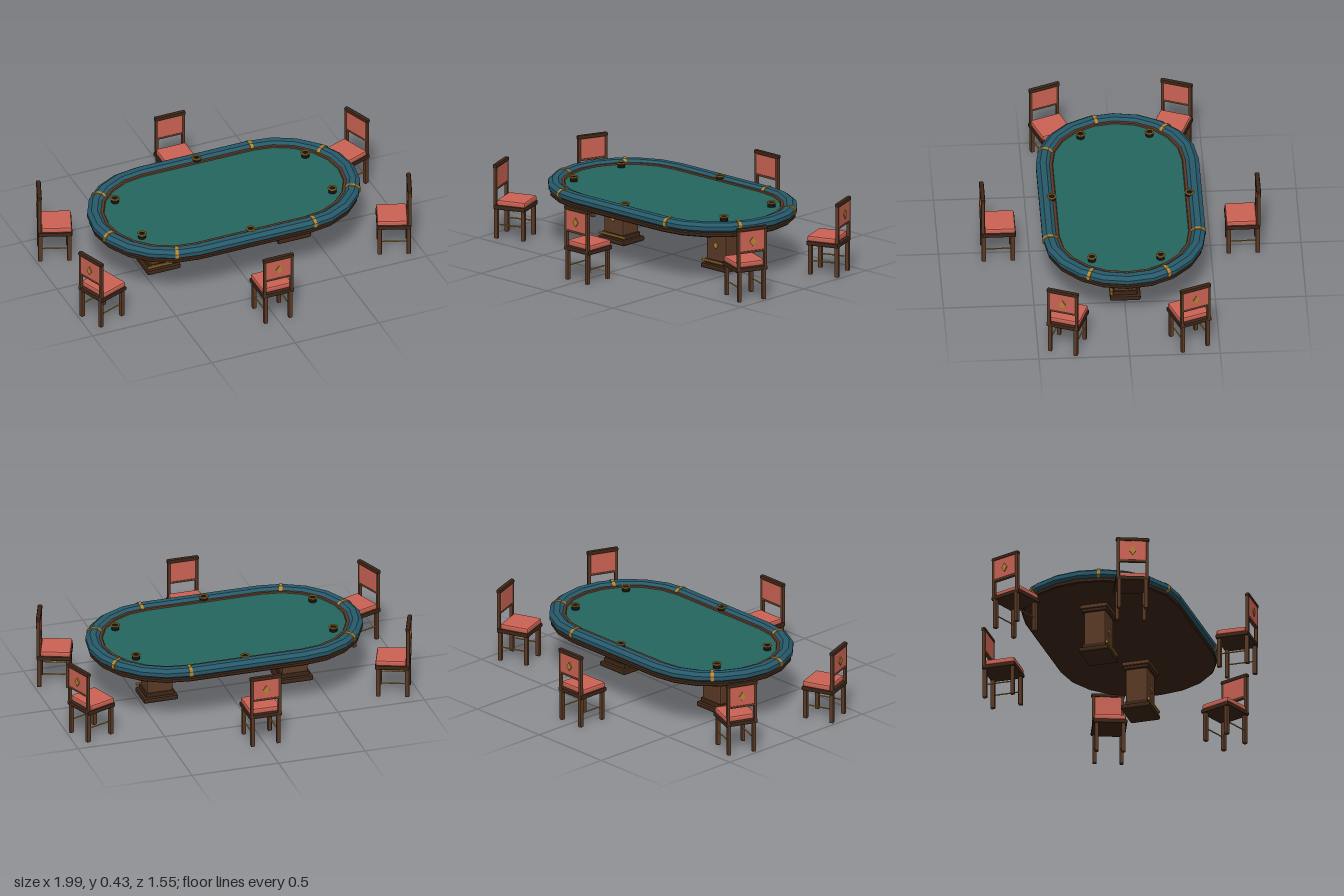
import * as THREE from 'three';
import { RoundedBoxGeometry } from 'three/addons/geometries/RoundedBoxGeometry.js';

const mat = (color) => new THREE.MeshStandardMaterial({ color, flatShading: true });
const WOOD = mat(0x5a3925), DARK = mat(0x3d2618), RED = mat(0xcc6354), GOLD = mat(0xb5852f);
const FELT = mat(0x256660), PAD = mat(0x27596a), BLACK = mat(0x14120f);

const END = 0.33; // half length of the straight sides
const ARC = 10; // segments in each rounded end

function add(parent, name, geometry, material, x = 0, y = 0, z = 0) {
  const mesh = new THREE.Mesh(geometry, material);
  mesh.name = name;
  mesh.position.set(x, y, z);
  parent.add(mesh);
  return mesh;
}

// Box with chamfered edges
const block = (w, h, d, c = 0.005) => new RoundedBoxGeometry(w, h, d, 1, c);

// Directions around the oval: end centre and angle
function ovalSteps() {
  const steps = [];
  for (const side of [1, -1]) {
    for (let i = 0; i <= ARC; i++) {
      steps.push({ cx: side * END, a: (i / ARC - 0.5) * Math.PI + (side < 0 ? Math.PI : 0) });
    }
    for (const k of [0.5, 0, -0.5]) steps.push({ cx: side * END * k * 1.0, a: side * Math.PI / 2 });
  }
  return steps;
}

// Sweep a closed (radius, height) profile around the oval
function sweepOval(profile) {
  const steps = ovalSteps(), n = profile.length, pos = [], index = [];
  steps.forEach(({ cx, a }, i) => {
    const next = ((i + 1) % steps.length) * n;
    profile.forEach(([r, y], j) => {
      pos.push(cx + r * Math.cos(a), y, r * Math.sin(a));
      const k = (j + 1) % n;
      index.push(i * n + j, i * n + k, next + j, i * n + k, next + k, next + j);
    });
  });
  const g = new THREE.BufferGeometry();
  g.setAttribute('position', new THREE.Float32BufferAttribute(pos, 3));
  g.setIndex(index);
  g.computeVertexNormals();
  return g;
}

// Solid oval slab
function ovalSlab(r, y0, y1, bevel = 0) {
  const pts = ovalSteps().map(({ cx, a }) =>
    new THREE.Vector2(cx + (r - bevel) * Math.cos(a), (r - bevel) * Math.sin(a)));
  return new THREE.ExtrudeGeometry(new THREE.Shape(pts), {
    depth: y1 - y0 - 2 * bevel, bevelEnabled: bevel > 0,
    bevelSize: bevel, bevelThickness: bevel, bevelSegments: 1,
  }).rotateX(-Math.PI / 2).translate(0, y0 + bevel, 0);
}

// Octagonal section of the padded rail
const octagon = (rx, ry, cx = 0, cy = 0) => Array.from({ length: 8 }, (_, i) => {
  const a = (i + 0.5) * Math.PI / 4, s = 1 / Math.cos(Math.PI / 8);
  return [cx + rx * s * Math.cos(a), cy + ry * s * Math.sin(a)];
});

function diamond(parent, y, z, rx, ry, x = 0) {
  const g = new THREE.CylinderGeometry(1, 1, 0.008, 4).rotateX(Math.PI / 2).scale(rx, ry, 1);
  return add(parent, 'diamondInlay', g, GOLD, x, y, z);
}

function createTable() {
  const table = new THREE.Group();
  table.name = 'table';
  add(table, 'tableBase', ovalSlab(0.44, 0.286, 0.312, 0.006), DARK);
  add(table, 'feltTop', ovalSlab(0.362, 0.305, 0.345), FELT);
  add(table, 'innerTrim', sweepOval([[0.376, 0.31], [0.376, 0.352], [0.36, 0.352], [0.356, 0.346], [0.356, 0.31]]), WOOD);
  add(table, 'paddedRail', sweepOval(octagon(0.04, 0.028, 0.41, 0.337)), PAD);

  // Gold bands wrapped round the rail: end side, angle in degrees
  const bands = [[1, -90], [1, -31], [1, 29], [1, 86], [-1, 73], [-1, 15], [-1, -43]];
  const toPts = (list) => list.map(([x, y]) => new THREE.Vector2(x, y));
  const loop = new THREE.Shape(toPts(octagon(0.043, 0.032)));
  loop.holes.push(new THREE.Path(toPts(octagon(0.036, 0.025))));
  const bandGeo = new THREE.ExtrudeGeometry(loop, { depth: 0.018, bevelEnabled: false }).translate(0, 0, -0.009);
  for (const [side, deg] of bands) {
    const a = THREE.MathUtils.degToRad(deg);
    const c = side * Math.cos(a), s = Math.sin(a);
    const band = add(table, 'railBand', bandGeo, GOLD, side * END + 0.408 * c, 0.337, 0.408 * s);
    band.rotation.y = -Math.atan2(s, c);
  }

  // Cup holders
  for (const [x, z] of [[0, -0.38], [0, 0.38], [0.57, 0.19], [0.57, -0.19], [-0.57, 0.19], [-0.57, -0.19]]) {
    const cup = new THREE.Group();
    cup.name = 'cupHolder';
    cup.position.set(x, 0, z);
    add(cup, 'cupWell', new THREE.CylinderGeometry(0.022, 0.022, 0.03, 12), BLACK, 0, 0.355, 0);
    add(cup, 'cupRim', new THREE.TorusGeometry(0.022, 0.005, 6, 14).rotateX(Math.PI / 2), GOLD, 0, 0.37, 0);
    table.add(cup);
  }

  // Pedestals
  for (const x of [-0.39, 0.39]) {
    const leg = new THREE.Group();
    leg.name = 'pedestal';
    leg.position.x = x;
    add(leg, 'plinth', block(0.2, 0.03, 0.17, 0.01), DARK, 0, 0.015, 0);
    add(leg, 'plinthStep', block(0.165, 0.03, 0.135, 0.006), DARK, 0, 0.04, 0);
    add(leg, 'column', block(0.15, 0.215, 0.126, 0.012), WOOD, 0, 0.148, 0);
    add(leg, 'capital', block(0.17, 0.025, 0.145, 0.008), DARK, 0, 0.258, 0);
    add(leg, 'capitalTop', block(0.185, 0.025, 0.16, 0.008), WOOD, 0, 0.276, 0);
    diamond(leg, 0.14, 0.065, 0.017, 0.02);
    add(leg, 'footRail', new THREE.CylinderGeometry(0.008, 0.008, 0.19, 8).rotateZ(Math.PI / 2), GOLD, 0, 0.047, 0.077);
    for (const s of [-1, 1]) add(leg, 'footRailBracket', block(0.01, 0.01, 0.025, 0.002), GOLD, s * 0.06, 0.047, 0.067);
    table.add(leg);
  }
  return table;
}

// Chair with its back towards +z
function createChair() {
  const chair = new THREE.Group();
  chair.name = 'chair';
  for (const s of [-1, 1]) {
    add(chair, 'frontLeg', block(0.022, 0.175, 0.024, 0.004), WOOD, s * 0.074, 0.0875, -0.078);
    add(chair, 'backLeg', block(0.022, 0.19, 0.024, 0.004), WOOD, s * 0.074, 0.095, 0.082);
    add(chair, 'backPost', block(0.018, 0.23, 0.02, 0.004), WOOD, s * 0.08, 0.295, 0.087);
    add(chair, 'sideStretcher', new THREE.CylinderGeometry(0.004, 0.004, 0.16, 6).rotateX(Math.PI / 2), GOLD, s * 0.074, 0.08, 0);
  }
  add(chair, 'seatFrame', block(0.19, 0.025, 0.19, 0.006), DARK, 0, 0.181, 0.0);
  add(chair, 'seatCushion', block(0.178, 0.034, 0.168, 0.01), RED, 0, 0.206, -0.008);
  add(chair, 'topRail', block(0.185, 0.024, 0.026, 0.008), DARK, 0, 0.413, 0.087);
  add(chair, 'lowerBackRail', block(0.16, 0.014, 0.018, 0.003), WOOD, 0, 0.284, 0.087);
  add(chair, 'backPanel', block(0.15, 0.118, 0.02, 0.005), RED, 0, 0.347, 0.087);
  diamond(chair, 0.343, 0.099, 0.019, 0.026);
  return chair;
}

export function createModel() {
  const model = new THREE.Group();
  model.name = 'cardTableSet';
  const table = createTable();
  table.position.z = -0.005;
  model.add(table);

  // Chairs around the table, backs outwards: angle from +x towards +z, distance
  for (const [deg, r] of [[90, 0.672], [-90, 0.675], [21, 0.933], [-21, 0.933], [159, 0.933], [-159, 0.933]]) {
    const a = THREE.MathUtils.degToRad(deg);
    const chair = createChair();
    chair.position.set(r * Math.cos(a), 0, r * Math.sin(a));
    chair.rotation.y = Math.PI / 2 - a;
    model.add(chair);
  }
  return model;
}
